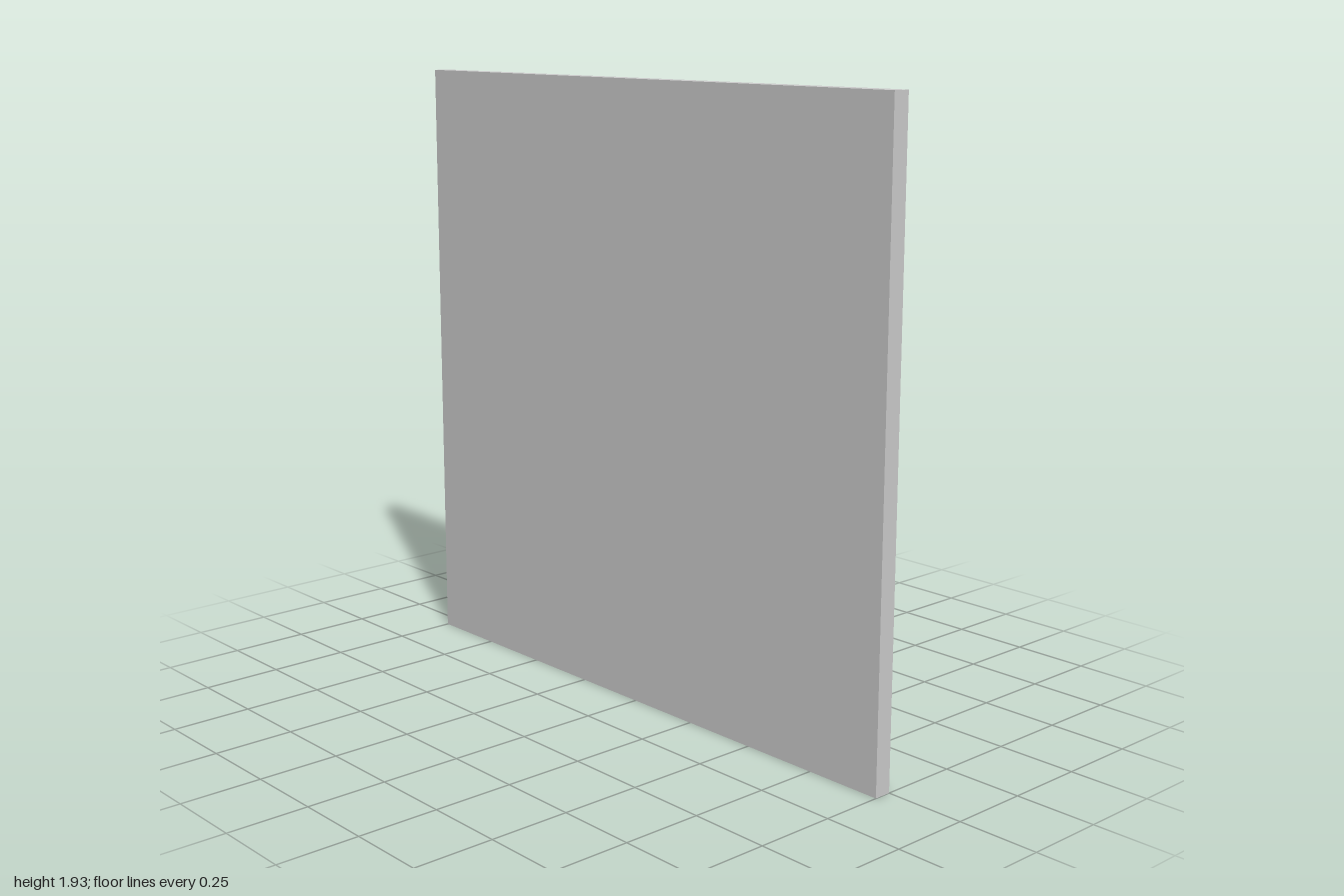
import * as THREE from 'three';

const material = new THREE.MeshStandardMaterial({ color: 0xcccccc, flatShading: true });
const WIDTH = 2, HEIGHT = 1.93, FRONT = 0.055, FLOOR = 0.027;

function add(parent, name, geometry, x = 0, y = 0, z = 0) {
  const mesh = new THREE.Mesh(geometry, material);
  mesh.name = name;
  mesh.position.set(x, y, z);
  parent.add(mesh);
  return mesh;
}

// Corner points of a rectangle with cut corners, centred on (x, y)
function cutRect(w, h, cut = 0, x = 0, y = 0) {
  const a = w / 2, b = h / 2;
  const corners = cut === 0
    ? [[a, b], [-a, b], [-a, -b], [a, -b]]
    : [[a, b - cut], [a - cut, b], [cut - a, b], [-a, b - cut],
      [-a, cut - b], [cut - a, -b], [a - cut, -b], [a, cut - b]];
  return corners.map(([px, py]) => new THREE.Vector2(px + x, py + y));
}

function plate(outline, holes, depth, bevel = 0) {
  const shape = new THREE.Shape(outline);
  for (const hole of holes) shape.holes.push(new THREE.Path(hole));
  return new THREE.ExtrudeGeometry(shape, {
    depth, bevelEnabled: bevel > 0, bevelSize: bevel, bevelThickness: bevel,
    bevelOffset: -bevel, bevelSegments: 1,
  });
}

// Side clip: bevelled cap, outer tongue and a web joining it to the panel
function makeClip(name, x, y) {
  const clip = new THREE.Group();
  clip.name = name;
  clip.position.set(x, y, 0);
  const cap = plate(cutRect(0.06, 0.03), [], 0.053, 0.005);
  add(clip, 'clipCap', cap, 0, 0.11, -0.05);
  const tongue = plate(cutRect(0.052, 0.11), [], 0.01, 0.004);
  add(clip, 'clipTongue', tongue, 0, 0.055, -0.05);
  add(clip, 'clipWeb', new THREE.BoxGeometry(0.022, 0.1, 0.042), 0, 0.053, -0.02);
  return clip;
}

export function createModel() {
  const model = new THREE.Group();
  model.name = 'wallPanel';

  // Smooth front sheet, with a raised border around the back recess
  add(model, 'frontSheet', new THREE.BoxGeometry(WIDTH, HEIGHT, FRONT - FLOOR),
    0, HEIGHT / 2, (FRONT + FLOOR) / 2);
  const border = plate(cutRect(WIDTH, HEIGHT), [cutRect(1.68, 1.79, 0.07)], FLOOR);
  add(model, 'backBorder', border, 0, HEIGHT / 2, 0);

  // Eight-sided hanging bosses with two slots each
  for (const side of [-1, 1]) {
    const slots = [cutRect(0.06, 0.05, 0, 0, 0.06), cutRect(0.06, 0.105, 0, 0, -0.033)];
    const boss = plate(cutRect(0.205, 0.32, 0.056), slots, 0.021);
    add(model, side > 0 ? 'leftHangingBoss' : 'rightHangingBoss', boss, side * 0.195, 1.655, FLOOR - 0.02);
  }

  // Three clips down each side of the back
  for (const side of [-1, 1]) {
    for (const y of [0.05, 0.855, 1.66]) {
      model.add(makeClip(side > 0 ? 'leftClip' : 'rightClip', side * 0.92, y));
    }
  }
  return model;
}
